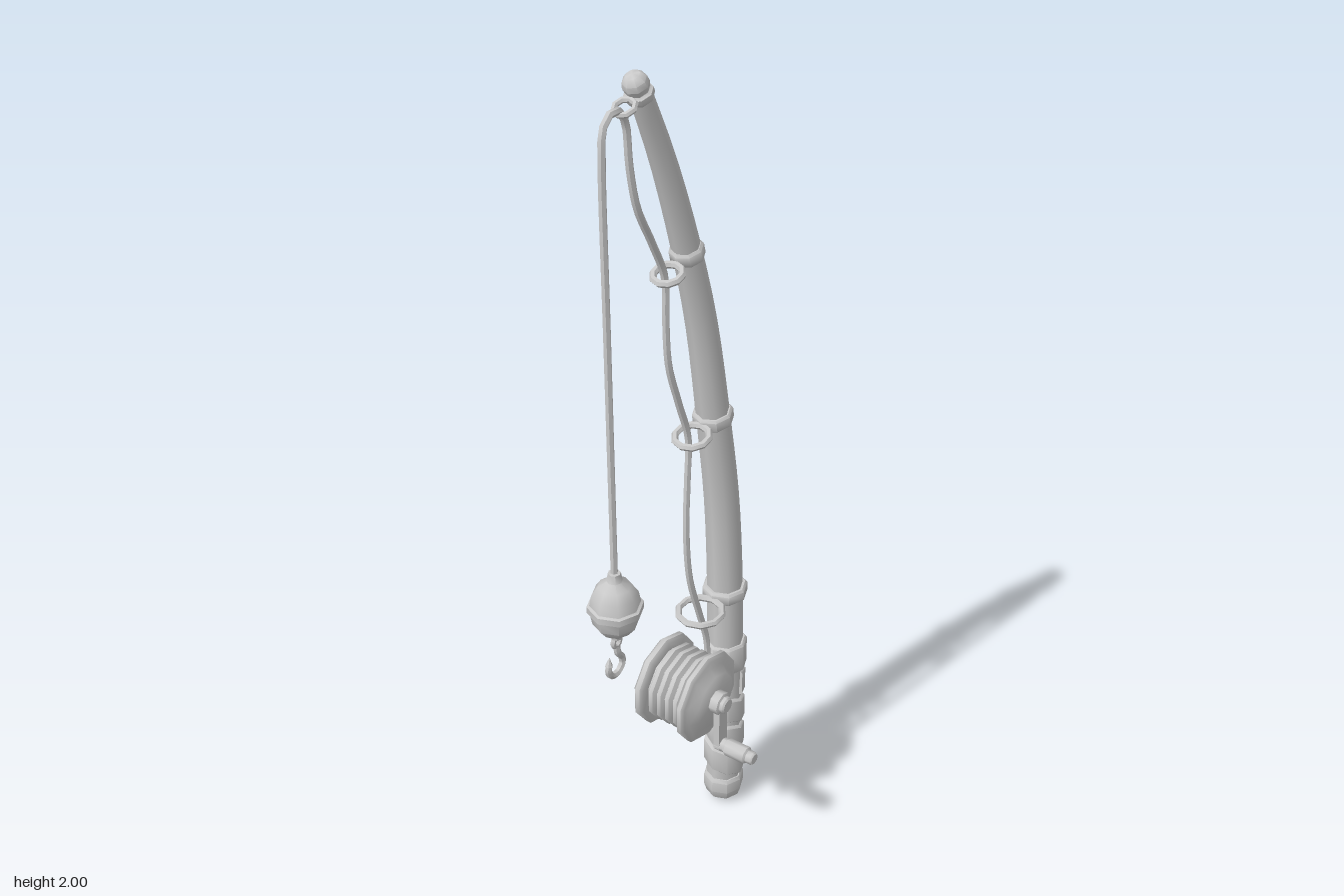
import * as THREE from 'three';
import { toCreasedNormals } from 'three/addons/utils/BufferGeometryUtils.js';

const Z = -0.055; // depth of the rod's plane

export function createModel() {
  const model = new THREE.Group();
  const grey = new THREE.MeshStandardMaterial({ color: 0xc8c8c8 });

  const add = (name, geometry, x = 0, y = 0, z = 0, tilt = 0) => {
    const mesh = new THREE.Mesh(toCreasedNormals(geometry, 0.82), grey);
    mesh.name = name;
    mesh.position.set(x, y, z);
    mesh.rotation.z = tilt;
    model.add(mesh);
    return mesh;
  };
  const v2 = (pts) => pts.map(([a, b]) => new THREE.Vector2(a, b));
  const lathe = (pts, sides = 8) => new THREE.LatheGeometry(v2(pts), sides);
  const path = (pts) => new THREE.CatmullRomCurve3(pts.map(([x, y]) => new THREE.Vector3(x, y, Z)));
  const band = (r, h, bevel = 0.005) => lathe([
    [r * 0.6, -h / 2], [r - bevel, -h / 2], [r, -h / 2 + bevel],
    [r, h / 2 - bevel], [r - bevel, h / 2], [r * 0.6, h / 2]]);

  // Curved, tapering pole: a cylinder bent along a path
  const rodPath = path([[0.21, 0.4], [0.205, 0.66], [0.187, 0.92], [0.15, 1.16],
    [0.106, 1.4], [0.055, 1.585], [-0.02, 1.8], [-0.095, 1.97]]);
  const rod = new THREE.CylinderGeometry(1, 1, 1, 8, 24, true);
  const pos = rod.attributes.position;
  for (let i = 0; i < pos.count; i++) {
    const t = pos.getY(i) + 0.5;
    const p = rodPath.getPointAt(t), d = rodPath.getTangentAt(t);
    const r = 0.044 - 0.008 * t - 0.014 * t * t;
    const a = pos.getX(i) * r;
    pos.setXYZ(i, p.x + d.y * a, p.y - d.x * a, Z + pos.getZ(i) * r);
  }
  add('rod', rod);
  add('rodTip', lathe([[0.015, -0.03], [0.026, -0.03], [0.029, -0.025], [0.029, -0.014],
    [0.023, -0.01], [0.026, 0.002], [0.024, 0.014], [0.014, 0.025], [0, 0.028]]),
  -0.1, 1.974, Z, 0.42);

  // Handle core, pommel and reel collar
  add('handleCore', new THREE.CylinderGeometry(0.042, 0.042, 0.36, 8), 0.21, 0.26, Z);
  add('pommel', lathe([[0, 0.003], [0.026, 0.006], [0.043, 0.022], [0.05, 0.045],
    [0.05, 0.075], [0.045, 0.084], [0.03, 0.084]]), 0.21, 0, Z);
  add('reelCollar', band(0.052, 0.08), 0.21, 0.47, Z);
  add('reelFoot', new THREE.BoxGeometry(0.08, 0.05, 0.05), 0.14, 0.47, Z);

  // Spiral grip: a bevelled section swept down a helix
  const section = [[0.036, -0.036], [0.045, -0.036], [0.05, -0.031],
    [0.05, 0.031], [0.045, 0.036], [0.036, 0.036]];
  const verts = [], index = [], n = section.length, steps = 25;
  for (let i = 0; i <= steps; i++) {
    const a = (i / 8) * Math.PI * 2;
    const y = 0.39 - (i / steps) * 0.27;
    for (const [r, h] of section) {
      verts.push(Math.sin(a) * r, Math.min(0.425, Math.max(0.09, y + h)), Math.cos(a) * r);
    }
    if (i === steps) break;
    for (let j = 0; j < n; j++) {
      const k = (j + 1) % n;
      const p = i * n + j, q = i * n + k, s = p + n, u = q + n;
      index.push(p, s, q, q, s, u);
    }
  }
  for (let j = 1; j < n - 1; j++) {
    index.push(0, j, j + 1, steps * n, steps * n + j + 1, steps * n + j);
  }
  const grip = new THREE.BufferGeometry();
  grip.setAttribute('position', new THREE.Float32BufferAttribute(verts, 3));
  grip.setIndex(index);
  grip.computeVertexNormals();
  add('gripWrap', grip, 0.21, 0, Z);

  // Rod bands, each with a line guide ring: x, y, tilt, band radius, ring x, ring y, ring radius
  const guides = [
    [0.205, 0.66, 0.02, 0.053, 0.105, 0.655, 0.052],
    [0.15, 1.16, 0.17, 0.045, 0.072, 1.147, 0.038],
    [0.055, 1.585, 0.27, 0.036, -0.01, 1.563, 0.03],
  ];
  for (const [x, y, tilt, r, gx, gy, gr] of guides) {
    add('rodBand', band(r, 0.032), x, y, Z, tilt);
    add('lineGuide', new THREE.TorusGeometry(gr, 0.008, 6, 10).rotateX(Math.PI / 2), gx, gy, Z, tilt);
  }
  add('tipGuide', new THREE.TorusGeometry(0.021, 0.006, 6, 8).rotateX(Math.PI / 2), -0.136, 1.945, Z, 0.42);

  // Reel: flanges, wound spool and hubs turned about z
  const spool = [[0, -0.145], [0.07, -0.145], [0.086, -0.128], [0.105, -0.128], [0.113, -0.121],
    [0.113, -0.109], [0.105, -0.103], [0.085, -0.103]];
  for (let i = 0; i < 4; i++) {
    const z = -0.1 + i * 0.0225;
    spool.push([0.085, z], [0.096, z + 0.006], [0.096, z + 0.016], [0.085, z + 0.022]);
  }
  spool.push([0.085, -0.009], [0.105, -0.009], [0.113, -0.003], [0.113, 0.007], [0.105, 0.013],
    [0.086, 0.013], [0.07, 0.029], [0, 0.029]);
  const turned = (pts, sides) => lathe(pts, sides).rotateX(Math.PI / 2);
  add('reel', turned(spool, 10), 0.047, 0.47);

  // Crank: hub, arm and knob
  add('crankHub', turned([[0.028, 0.025], [0.028, 0.05], [0.021, 0.052], [0.021, 0.06],
    [0.017, 0.064], [0, 0.064]], 8), 0.047, 0.47);
  add('crankArm', new THREE.BoxGeometry(0.032, 0.13, 0.016), 0.047, 0.405, 0.043);
  add('crankKnob', turned([[0, 0.036], [0.017, 0.036], [0.017, 0.06], [0.021, 0.066], [0.021, 0.118],
    [0.016, 0.122], [0.016, 0.136], [0.013, 0.14], [0, 0.14]], 8), 0.047, 0.346);

  // Line, threaded from the reel through the guides and down to the float
  const line = path([[0.135, 0.5], [0.13, 0.56], [0.1, 0.655], [0.062, 0.78], [0.05, 0.92],
    [0.055, 1.05], [0.058, 1.15], [0.025, 1.25], [-0.01, 1.36], [-0.018, 1.47], [-0.02, 1.56],
    [-0.06, 1.65], [-0.105, 1.74], [-0.125, 1.83], [-0.135, 1.92], [-0.155, 1.945],
    [-0.18, 1.945], [-0.2, 1.925], [-0.205, 1.88], [-0.206, 1.5], [-0.207, 0.94]]);
  add('line', new THREE.TubeGeometry(line, 100, 0.008, 6));

  // Float with a middle rim and end caps
  add('float', lathe([[0, -0.085], [0.013, -0.083], [0.015, -0.068], [0.033, -0.062],
    [0.05, -0.04], [0.055, -0.012], [0.061, -0.009], [0.061, 0.006], [0.055, 0.009],
    [0.05, 0.034], [0.036, 0.055], [0.017, 0.068], [0.014, 0.088], [0, 0.09]]), -0.207, 0.87, Z);

  // Hook with its eye
  add('hookEye', new THREE.TorusGeometry(0.012, 0.006, 6, 8), -0.207, 0.775, Z);
  const hook = path([[-0.207, 0.765], [-0.203, 0.742], [-0.19, 0.722], [-0.19, 0.702],
    [-0.206, 0.69], [-0.226, 0.693], [-0.237, 0.71], [-0.235, 0.728]]);
  add('hook', new THREE.TubeGeometry(hook, 24, 0.008, 6));
  add('hookPoint', new THREE.ConeGeometry(0.009, 0.022, 6), -0.234, 0.737, Z, -0.15);

  return model;
}
